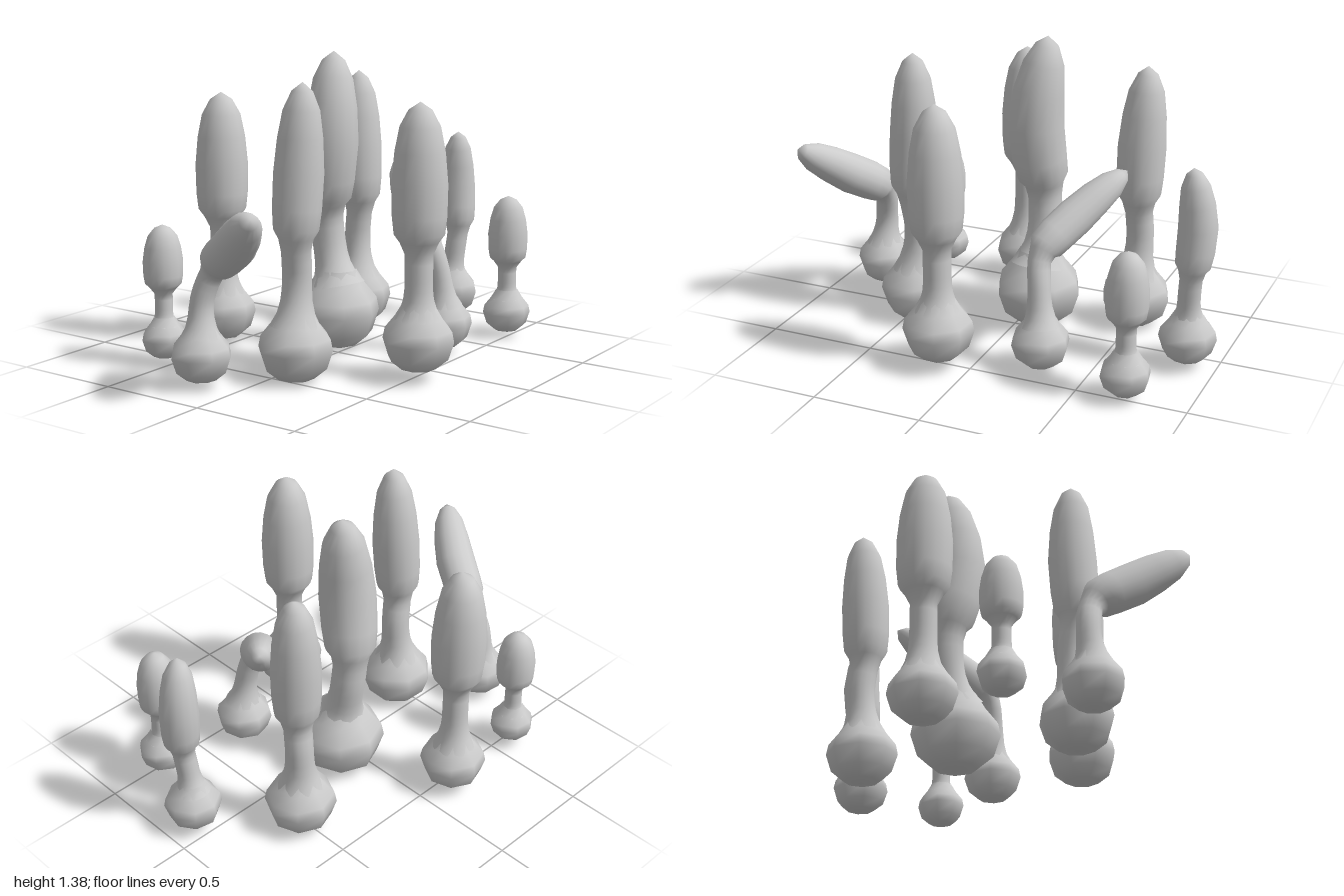
import * as THREE from 'three';
import { mergeVertices } from 'three/addons/utils/BufferGeometryUtils.js';

// Surface through rings given as { p: centre, t: axis direction, r: radius }
function loft(rings, sides, turn = 0) {
  const pos = [], index = [];
  const up = new THREE.Vector3(0, 1, 0), q = new THREE.Quaternion(), v = new THREE.Vector3();
  rings.forEach(({ p, t, r }, i) => {
    q.setFromUnitVectors(up, t);
    for (let j = 0; j < sides; j++) {
      const a = turn + j / sides * Math.PI * 2;
      v.set(Math.sin(a) * r, 0, Math.cos(a) * r).applyQuaternion(q).add(p);
      pos.push(v.x, v.y, v.z);
      if (i === 0) continue;
      const k = (j + 1) % sides, lo = (i - 1) * sides, hi = i * sides;
      index.push(lo + j, lo + k, hi + k, lo + j, hi + k, hi + j);
    }
  });
  let geo = new THREE.BufferGeometry();
  geo.setAttribute('position', new THREE.Float32BufferAttribute(pos, 3));
  geo.setIndex(index);
  geo = mergeVertices(geo, 1e-5);
  geo.computeVertexNormals();
  return geo;
}

// Bulb profile: [radius, height] in units of the bulb radius
const BULB = [[0, 0], [0.5, 0.08], [0.84, 0.36], [1, 0.85], [0.94, 1.15], [0.66, 1.5], [0.45, 1.85]];
// Cap profile: [path position, share of cap radius]
const CAP = [[2.05, 0.7], [2.2, 0.91], [2.5, 0.98], [3, 1], [3.4, 0.9], [3.7, 0.73], [3.9, 0.42], [4, 0]];

// Each sprout: base position x, z; bottom y; bulb radius R; cap radius;
// heights of the cap's start and tip; sway = sideways [x, z] shift of
// the neck, cap start, cap middle and tip from the base (none if upright)
const SPROUTS = [
  { name: 'tallSprout', x: 0.09, z: -0.07, y: 0.01, R: 0.2, cap: 0.128, start: 0.67, tip: 1.39,
    sway: [[0.01, -0.05], [0, -0.06], [-0.025, -0.015], [0.025, -0.035]] },
  { name: 'leftTallSprout', x: -0.46, z: 0.1, y: 0.01, R: 0.168, cap: 0.11, start: 0.63, tip: 1.31,
    sway: [[0.015, 0], [-0.005, 0.01], [0.01, 0.015], [0.02, 0.03]] },
  { name: 'rightTallSprout', x: 0.51, z: -0.24, y: 0.01, R: 0.162, cap: 0.11, start: 0.61, tip: 1.26,
    sway: [[0.01, -0.01], [0.005, 0.005], [0.01, 0], [0.025, -0.015]] },
  { name: 'frontSprout', x: -0.14, z: 0.525, y: 0.05, R: 0.16, cap: 0.123, start: 0.61, tip: 1.225 },
  { name: 'backSprout', x: -0.17, z: -0.54, y: 0.035, R: 0.15, cap: 0.122, start: 0.61, tip: 1.2 },
  { name: 'leftBentSprout', x: -0.77, z: -0.17, y: 0.035, R: 0.135, cap: 0.094, start: 0.54, tip: 0.825,
    sway: [[0.015, 0], [0.03, 0.06], [-0.05, 0.23], [-0.205, 0.44]] },
  { name: 'rightBentSprout', x: 0.29, z: 0.39, y: 0.035, R: 0.132, cap: 0.086, start: 0.54, tip: 0.845,
    sway: [[-0.015, -0.02], [-0.025, -0.07], [0.07, -0.22], [0.24, -0.41]] },
  { name: 'smallBackSprout', x: -0.6, z: -0.53, y: 0.04, R: 0.103, cap: 0.09, start: 0.36, tip: 0.65 },
  { name: 'smallFrontSprout', x: 0.717, z: 0.483, y: 0.03, R: 0.112, cap: 0.094, start: 0.37, tip: 0.69 },
  { name: 'edgeSprout', x: 0.865, z: 0.085, y: 0.035, R: 0.13, cap: 0.087, start: 0.47, tip: 0.95,
    sway: [[0.005, 0.015], [0.015, 0.025], [0.03, 0.01], [0.005, 0.025]] },
];

export function createModel() {
  const model = new THREE.Group();
  model.name = 'sproutCluster';
  const material = new THREE.MeshStandardMaterial({ color: 0xcccccc });
  const up = new THREE.Vector3(0, 1, 0);

  SPROUTS.forEach(({ name, x, z, y, R, cap, start, tip, sway }, i) => {
    const sprout = new THREE.Group();
    sprout.name = name;

    // Eight-sided bulb
    const bulbRings = BULB.map(([r, h]) => ({ p: new THREE.Vector3(x, y + h * R, z), t: up, r: r * R }));
    const bulb = new THREE.Mesh(loft(bulbRings, 8, i * 0.37), material);
    bulb.name = 'bulb';

    // Curved centre line from the bulb through neck and cap to the tip
    const heights = [0.74 * start, start, start + 0.43 * (tip - start), tip];
    const curve = new THREE.CatmullRomCurve3([
      new THREE.Vector3(x, y + 1.45 * R, z),
      ...heights.map((h, k) => {
        const [dx, dz] = sway ? sway[k] : [0, 0];
        return new THREE.Vector3(x + dx, h, z + dz);
      }),
    ]);
    const ring = (u, r) => ({ p: curve.getPoint(u / 4), t: curve.getTangent(u / 4), r });

    // Stem flares out toward the bulb, then swells into the cap
    const rings = [];
    for (let u = 0; u < 2; u += 0.25) {
      rings.push(ring(u, R * (0.39 + 0.27 * Math.max(0, 1 - u) ** 3)));
    }
    CAP.forEach(([u, f]) => rings.push(ring(u, cap * f)));
    const stalk = new THREE.Mesh(loft(rings, 16), material);
    stalk.name = 'stemAndCap';

    sprout.add(bulb, stalk);
    model.add(sprout);
  });
  return model;
}
